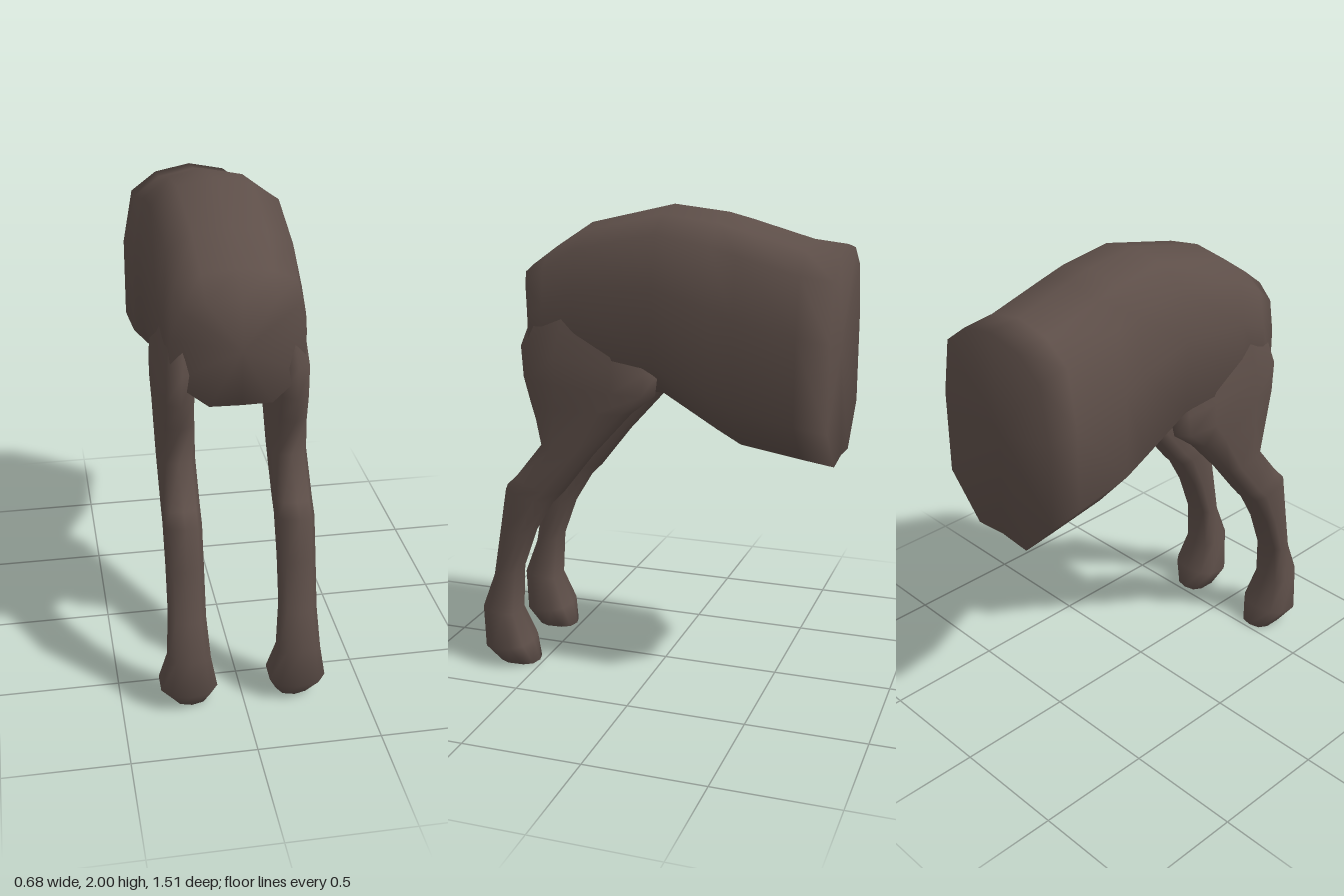
import * as THREE from 'three';

// Skin closed rings of points with smooth normals; cap both ends with a fan.
function loft(rings, startCentre, endCentre) {
  const n = rings[0].length, last = (rings.length - 1) * n;
  const pos = [...rings.flat(), startCentre, endCentre].flat();
  const s = rings.length * n, e = s + 1, index = [];
  for (let j = 0; j < n; j++) {
    const k = (j + 1) % n;
    for (let i = 0; i < last; i += n) {
      index.push(i + j, i + n + j, i + k, i + k, i + n + j, i + n + k);
    }
    index.push(s, j, k, e, last + k, last + j);
  }
  const g = new THREE.BufferGeometry();
  g.setAttribute('position', new THREE.Float32BufferAttribute(pos, 3));
  g.setIndex(index);
  g.computeVertexNormals();
  return g;
}

// Body: one half profile (width, height fractions) scaled along z.
function bodyGeometry() {
  const half = [[0, 1], [0.5, 0.965], [0.86, 0.87], [1, 0.6], [1, 0.2], [0.47, 0], [0, 0.015]];
  const profile = [...half, ...half.slice(1, -1).reverse().map(([u, v]) => [-u, v])];
  // z, side setback, top, bottom, half width
  const stations = [
    [-0.755, 0, 1.865, 0.995, 0.305],
    [-0.62, 0, 1.88, 1.015, 0.305],
    [-0.37, 0, 1.95, 1.055, 0.305],
    [-0.27, 0, 1.975, 1.11, 0.305],
    [-0.04, 0, 2.0, 1.245, 0.302],
    [0.32, 0.02, 1.915, 1.27, 0.285],
    [0.48, 0.04, 1.81, 1.28, 0.272],
    [0.59, 0.08, 1.73, 1.3, 0.26],
  ];
  const rings = stations.map(([z, lag, top, bottom, w]) =>
    profile.map(([u, v]) => [u * w, bottom + v * (top - bottom), z - lag * u * u]));
  return loft(rings, [0, 1.45, -0.74], [0, 1.53, 0.6]);
}

// Leg: rounded sections, each spanned between a front and a rear point.
function legGeometry(side) {
  // front z, front y, rear z, rear y, centre x, half width
  const stations = [
    [0.46, 1.68, 0.02, 1.6, 0.2, 0.07],
    [0.56, 1.42, -0.04, 1.34, 0.222, 0.08],
    [0.55, 1.29, -0.03, 1.25, 0.225, 0.078],
    [0.52, 1.18, 0.07, 1.17, 0.226, 0.076],
    [0.47, 1.01, 0.24, 0.98, 0.226, 0.076],
    [0.59, 0.86, 0.38, 0.8, 0.226, 0.076],
    [0.64, 0.81, 0.43, 0.75, 0.226, 0.076],
    [0.665, 0.63, 0.52, 0.6, 0.226, 0.076],
    [0.7, 0.41, 0.585, 0.43, 0.226, 0.077],
    [0.76, 0.26, 0.595, 0.23, 0.225, 0.088],
    [0.745, 0.08, 0.54, 0.1, 0.225, 0.12],
    [0.69, 0, 0.515, 0.005, 0.215, 0.072],
  ];
  const soften = (v) => Math.sign(v) * Math.abs(v) ** 0.75;
  const rings = stations.map(([fz, fy, rz, ry, cx, w]) =>
    Array.from({ length: 10 }, (_, i) => {
      const a = (i / 10) * Math.PI * 2;
      const t = (1 - soften(Math.cos(a))) / 2;
      return [side * cx + w * soften(Math.sin(a)), fy + (ry - fy) * t, fz + (rz - fz) * t];
    }));
  return loft(rings, [side * 0.2, 1.66, 0.24], [side * 0.215, 0.002, 0.6]);
}

export function createModel() {
  const hide = new THREE.MeshStandardMaterial({ color: 0x5e4f49 });
  hide.name = 'brown hide';
  const model = new THREE.Group();
  model.name = 'hindquarters';

  const add = (name, geometry) => {
    const mesh = new THREE.Mesh(geometry, hide);
    mesh.name = name;
    model.add(mesh);
  };
  add('body', bodyGeometry());
  add('leftLeg', legGeometry(1));
  add('rightLeg', legGeometry(-1));
  return model;
}
